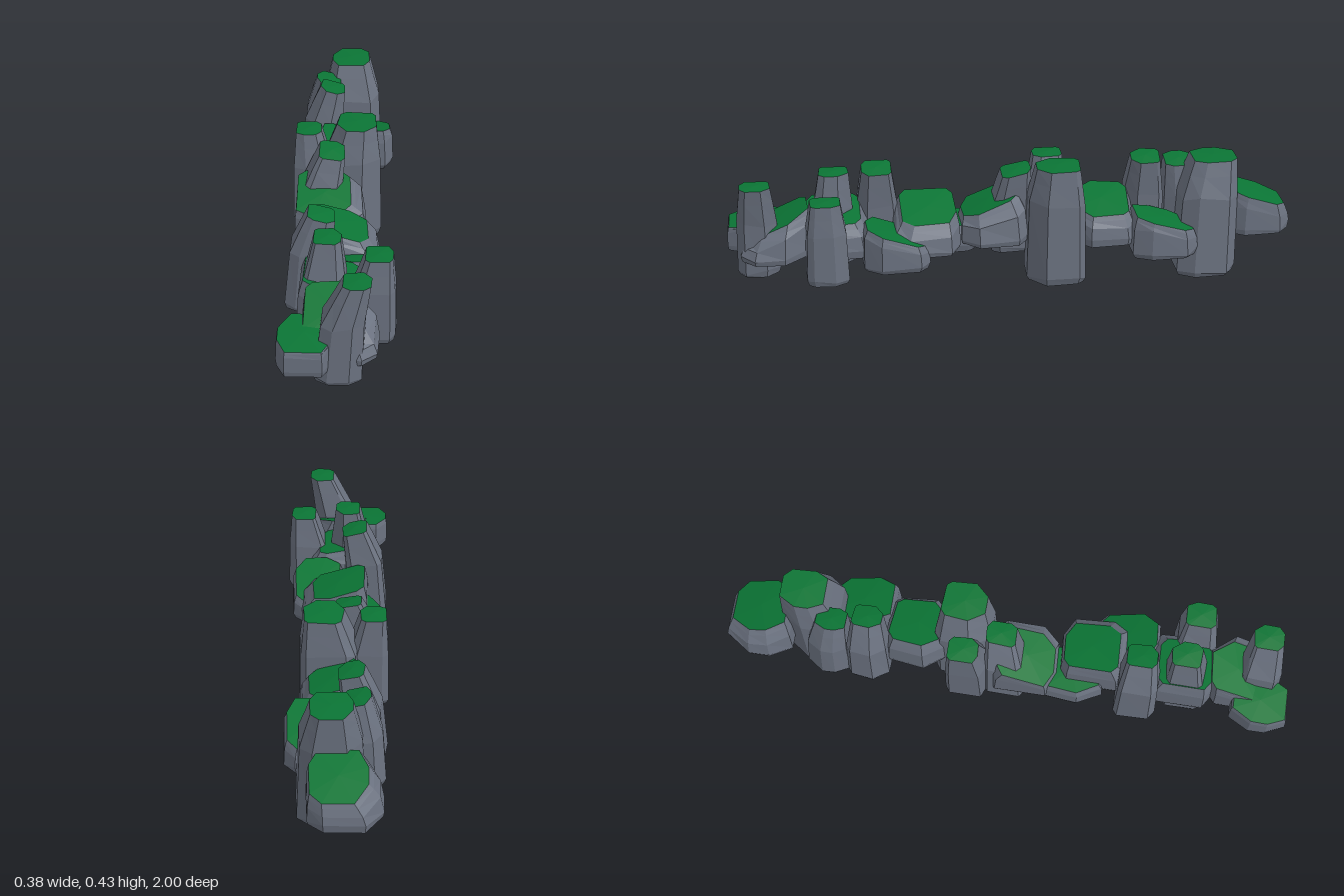
import * as THREE from 'three';

const stone = new THREE.MeshStandardMaterial({ color: 0x6b7280 });
stone.name = 'grey stone';
const moss = new THREE.MeshStandardMaterial({ color: 0x0b7535 });
moss.name = 'green moss';

// Small seeded random generator
function seeded(seed) {
  let s = seed * 7919 + 17;
  return () => (s = (s * 16807) % 2147483647) / 2147483647;
}

// Irregular rounded-rectangle outline, normalised to -0.5..0.5
function outline(rand, sides) {
  const pow = (v) => Math.sign(v) * Math.abs(v) ** 0.62;
  const pts = [];
  for (let i = 0; i < sides; i++) {
    const a = ((i + 0.5 + (rand() - 0.5) * 0.7) / sides) * Math.PI * 2;
    pts.push([pow(Math.cos(a)), pow(Math.sin(a))]);
  }
  for (const k of [0, 1]) {
    const v = pts.map((p) => p[k]);
    const lo = Math.min(...v), hi = Math.max(...v);
    pts.forEach((p) => { p[k] = (p[k] - lo) / (hi - lo) - 0.5; });
  }
  return pts;
}

// Faceted boulder at (x, z); its crown is shifted by (ox, oz) and tilted by (sx, sz)
function boulder(kind, seed, x, z, ox, oz, y1, sx = 0, sz = 0) {
  const { base, top, y0, shoulder, foot } = kind;
  const rand = seeded(seed);
  const pts = outline(rand, 8);
  const n = pts.length;
  const topY = (px, pz) => y1 + sx * (px - x - ox) + sz * (pz - z - oz);

  // Each ring blends from the base to the crown
  const ring = (blend, inset, height) => {
    const w = THREE.MathUtils.lerp(base[0], top[0], blend) * inset;
    const d = THREE.MathUtils.lerp(base[1], top[1], blend) * inset;
    return pts.map(([u, v]) => {
      const px = x + ox * blend + w * u, pz = z + oz * blend + d * v;
      return [px, height(px, pz), pz];
    });
  };
  const rough = () => (rand() - 0.5) * 0.02;
  const rings = [
    ring(0, foot, () => y0),
    ring(0, 1, () => y0 + 0.02 + rough()),
    ring(0.25, 1, (px, pz) => y0 + (topY(px, pz) - y0) * shoulder + rough()),
    ring(0.7, 1, (px, pz) => y0 + (topY(px, pz) - y0) * (0.6 + shoulder * 0.4)),
    ring(1, 1, topY),
  ];

  const pos = [];
  const tri = (a, b, c) => pos.push(...a, ...b, ...c);
  for (let j = 0; j < rings.length - 1; j++) {
    for (let i = 0; i < n; i++) {
      const k = (i + 1) % n, b = rings[j], t = rings[j + 1];
      tri(b[i], t[i], t[k]);
      tri(b[i], t[k], b[k]);
    }
  }
  const under = [x, y0, z], crown = [x + ox, y1 + 0.004, z + oz];
  for (let i = 0; i < n; i++) tri(under, rings[0][i], rings[0][(i + 1) % n]);
  const sideCount = pos.length / 3;
  for (let i = 0; i < n; i++) tri(crown, rings[4][(i + 1) % n], rings[4][i]);

  // Stone sides, mossy crown
  const g = new THREE.BufferGeometry();
  g.setAttribute('position', new THREE.Float32BufferAttribute(pos, 3));
  g.computeVertexNormals();
  g.addGroup(0, sideCount, 0);
  g.addGroup(sideCount, n * 3, 1);
  return new THREE.Mesh(g, [stone, moss]);
}

// Kinds of rock: footprint, crown size, foot height, relative shoulder height, foot inset
const slab = { name: 'lowRock', base: [0.25, 0.24], top: [0.19, 0.195], y0: 0.14, shoulder: 0.66, foot: 0.97 };
const ledge = { name: 'ledgeRock', base: [0.19, 0.235], top: [0.165, 0.205], y0: 0.1, shoulder: 0.75, foot: 0.92 };
const block = { name: 'endRock', base: [0.175, 0.2], top: [0.165, 0.185], y0: 0.13, shoulder: 0.85, foot: 0.97 };
const great = { name: 'greatRock', base: [0.23, 0.215], top: [0.14, 0.155], y0: 0, shoulder: 0.7, foot: 0.92 };
const pillar = { name: 'pillarRock', base: [0.155, 0.15], top: [0.09, 0.105], y0: 0.075, shoulder: 0.6, foot: 0.92 };

export function createModel() {
  const group = new THREE.Group();
  group.name = 'rockRow';
  const place = (kind, spots) => spots.forEach((spot, i) => {
    const rock = boulder(kind, i + 3, ...spot);
    rock.name = kind.name + (i + 1);
    group.add(rock);
  });

  // Low, wide rocks forming the chain, back to front
  place(slab, [
    [-0.045, -0.88, 0.02, 0, 0.27, 0, 0.33],
    [-0.008, -0.32, 0, 0, 0.275, -0.3],
    [-0.045, 0.065, -0.025, 0.01, 0.265, 0, -0.4],
    [0.01, 0.305, -0.015, -0.01, 0.275, -0.3],
    [-0.007, 0.62, -0.01, 0.01, 0.275, -0.2],
    [0.012, 0.83, -0.02, -0.02, 0.262, 0, -0.45],
  ]);
  // Sloping rocks at the sides
  place(ledge, [
    [0.07, -0.53, 0, 0, 0.225, 0, 0.3],
    [-0.076, 0.235, 0, 0, 0.2],
    [0.075, 0.415, 0, 0, 0.22, 0, 0.35],
  ]);
  // Block at the front end
  place(block, [[-0.098, 0.9, 0, 0, 0.228, 0, -0.12]]);
  // Two great standing rocks
  place(great, [
    [0.005, -0.69, -0.005, -0.028, 0.425],
    [0.012, -0.155, 0.025, -0.005, 0.428],
  ]);
  // Slender standing rocks
  place(pillar, [
    [-0.1, -0.63, 0.02, 0.02, 0.385, -0.25],
    [-0.106, -0.485, 0.045, 0, 0.408, -0.25],
    [-0.11, -0.13, -0.022, -0.01, 0.41],
    [-0.09, 0, 0.045, -0.02, 0.385, -0.15, -0.2],
    [-0.106, 0.47, 0.045, 0, 0.408, -0.25],
    [-0.045, 0.63, 0.01, -0.01, 0.412],
    [0.112, 0.655, 0.02, 0, 0.37],
    [0.01, 0.89, 0.058, 0, 0.413],
  ]);
  return group;
}
